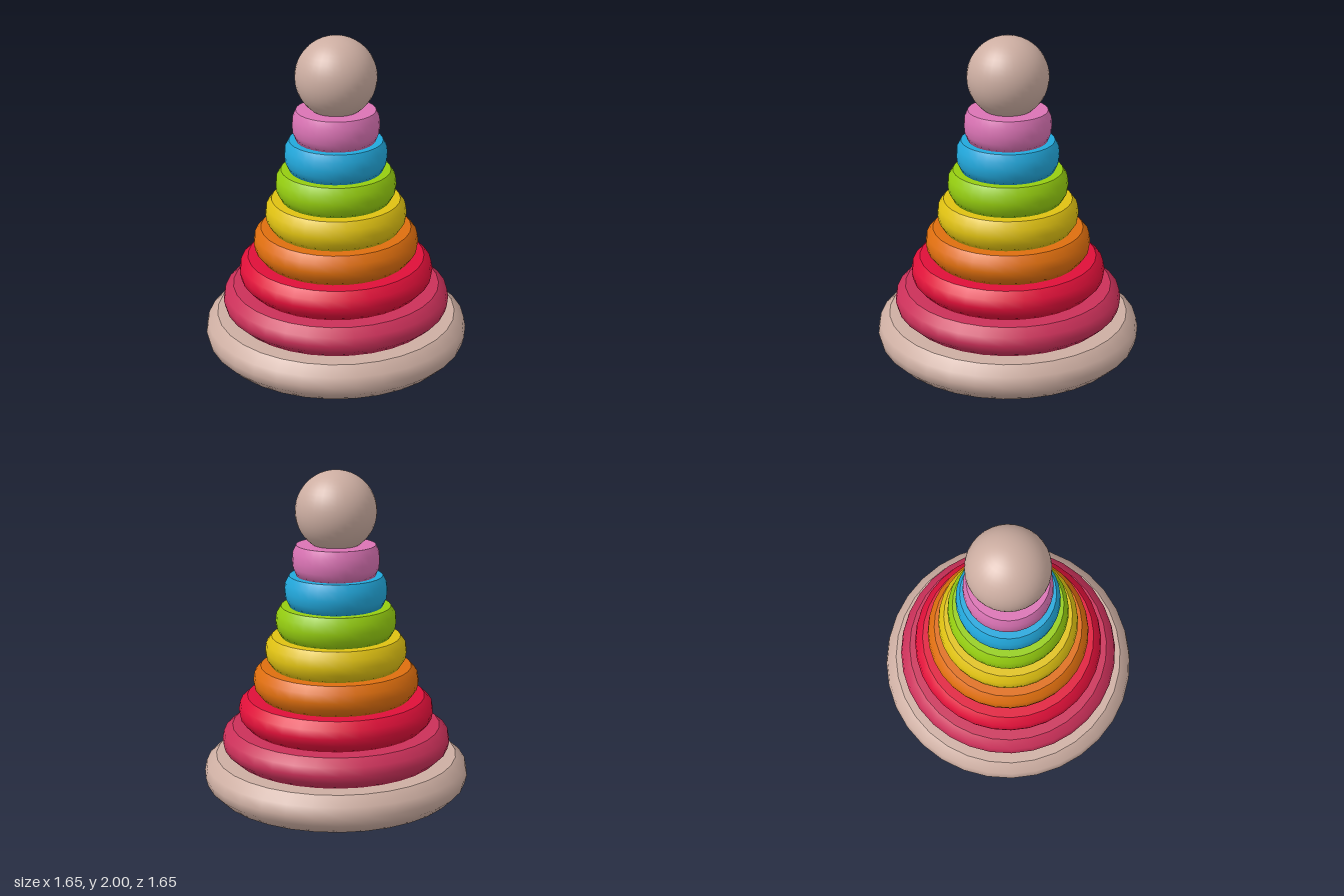
import * as THREE from 'three';
import { mergeGeometries } from 'three/addons/utils/BufferGeometryUtils.js';

const SEGMENTS = 32;

function material(name, color) {
  const m = new THREE.MeshStandardMaterial({ color });
  m.name = name;
  return m;
}

// Rounded disc: smooth bulging side and underside, sharp-edged flat top
function discGeometry(radius, height) {
  const rim = [[0.91, 0], [0.985, 0.27], [1, 0.5], [0.985, 0.77], [0.91, 1]]
    .map(([r, h]) => new THREE.Vector2(r * radius, h * height));
  const body = new THREE.LatheGeometry([new THREE.Vector2(0, 0), ...rim], SEGMENTS);
  const top = new THREE.LatheGeometry(
    [new THREE.Vector2(0.91 * radius, height), new THREE.Vector2(0, height)], SEGMENTS);
  return mergeGeometries([body, top]);
}

export function createModel() {
  const group = new THREE.Group();
  group.name = 'stackingRingToy';
  const wood = material('pale wood', 0xcdaea2);

  const add = (name, geometry, mat, y) => {
    const mesh = new THREE.Mesh(geometry, mat);
    mesh.name = name;
    mesh.position.y = y;
    group.add(mesh);
  };

  // Wooden base
  const baseHeight = 0.23, step = 0.1886;
  add('base', discGeometry(0.825, baseHeight), wood, 0);

  // Coloured rings, largest at the bottom
  const rings = [
    ['raspberry', 0xca3059, 0.71],
    ['red', 0xdf1039, 0.605],
    ['orange', 0xde6e0e, 0.512],
    ['yellow', 0xdfc112, 0.436],
    ['green', 0x95cd10, 0.37],
    ['blue', 0x22a8dc, 0.314],
    ['pink', 0xda73b4, 0.266],
  ];
  rings.forEach(([name, color, radius], i) =>
    add(name + 'Ring', discGeometry(radius, step), material(name, color), baseHeight + i * step));

  // Ball on top
  add('topBall', new THREE.SphereGeometry(0.247, 32, 24), wood, 1.753);

  return group;
}
